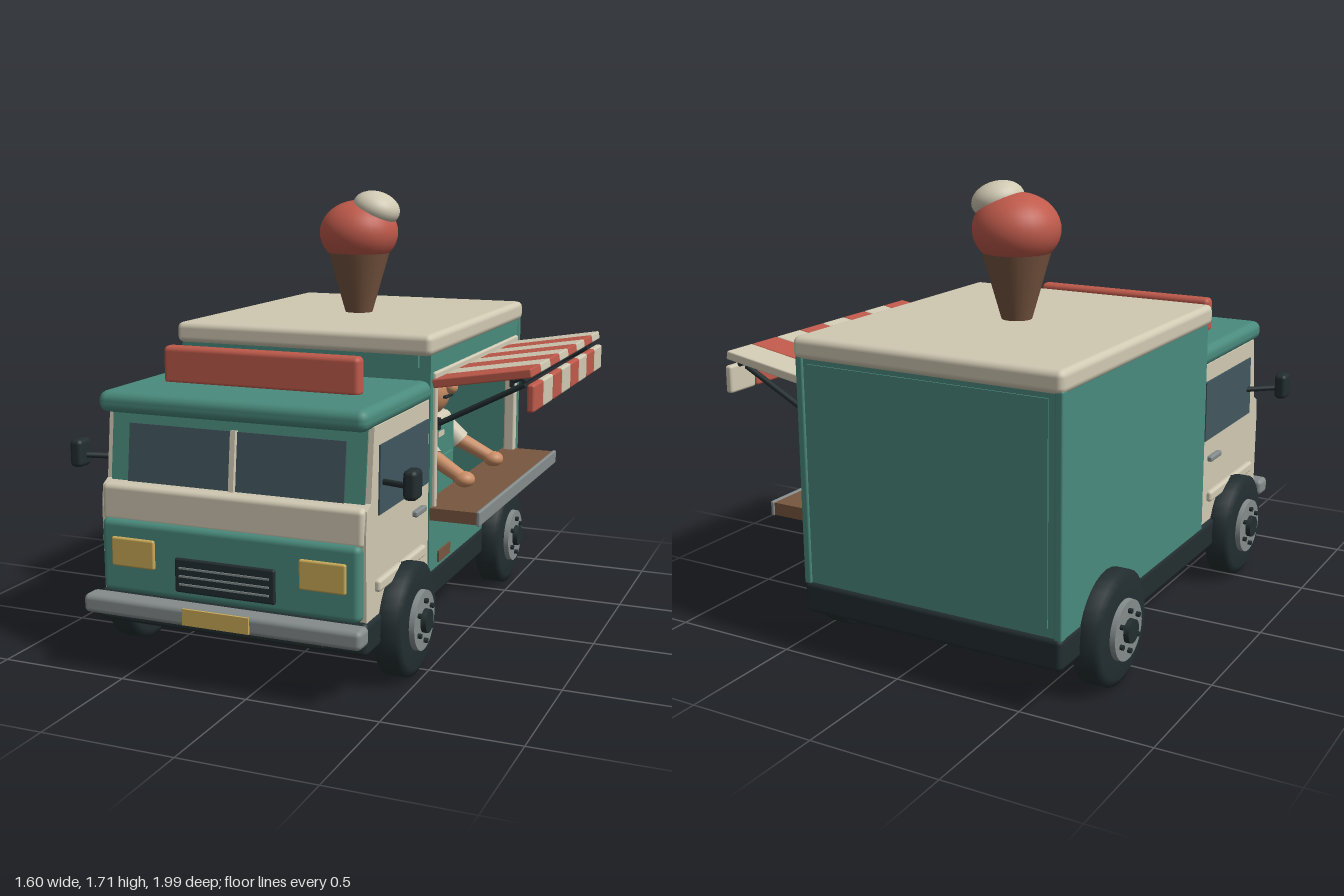
import * as THREE from 'three';
import { RoundedBoxGeometry } from 'three/addons/geometries/RoundedBoxGeometry.js';

const paint = (name, color) => {
  const m = new THREE.MeshStandardMaterial({ color });
  m.name = name;
  return m;
};

export function createModel() {
  const teal = paint('teal', 0x4a8b7d), cream = paint('cream', 0xd0c9b3), red = paint('red', 0xbf5a4b);
  const dark = paint('dark rubber', 0x232e30), glass = paint('glass', 0x42575f), brown = paint('wood brown', 0x785640);
  const grey = paint('metal grey', 0x858c8c), yellow = paint('yellow', 0xcbab58), skin = paint('skin', 0xc88c64);

  const root = new THREE.Group();
  root.name = 'iceCreamTruck';
  const CX = -0.12; // body centre line

  const add = (name, geo, mat, pos = [0, 0, 0], parent = root) => {
    const m = new THREE.Mesh(geo, mat);
    m.name = name;
    m.position.set(...pos);
    parent.add(m);
    return m;
  };
  // box given by its extents, rounded when r > 0
  const box = (name, mat, [x0, x1], [y0, y1], [z0, z1], r = 0, parent = root) => {
    const s = [x1 - x0, y1 - y0, z1 - z0];
    const geo = r ? new RoundedBoxGeometry(...s, 2, r) : new THREE.BoxGeometry(...s);
    return add(name, geo, mat, [(x0 + x1) / 2, (y0 + y1) / 2, (z0 + z1) / 2], parent);
  };
  // round bar between two points
  const bar = (name, mat, a, b, r0, r1 = r0, parent = root) => {
    const A = new THREE.Vector3(...a), B = new THREE.Vector3(...b), d = B.clone().sub(A);
    const m = add(name, new THREE.CylinderGeometry(r1, r0, d.length(), 14), mat, A.clone().add(B).multiplyScalar(0.5).toArray(), parent);
    m.quaternion.setFromUnitVectors(new THREE.Vector3(0, 1, 0), d.normalize());
    return m;
  };
  const ball = (name, mat, pos, scale, parent = root) => {
    const m = add(name, new THREE.SphereGeometry(1, 28, 20), mat, pos, parent);
    m.scale.set(...scale);
    return m;
  };

  // chassis and bumper
  box('chassis', dark, [-0.655, 0.41], [0.17, 0.29], [-0.99, 0.89], 0.02);
  box('frontBumper', grey, [-0.665, 0.425], [0.225, 0.295], [0.9, 0.985], 0.02);
  box('bumperMount', dark, [-0.5, 0.26], [0.2, 0.28], [0.86, 0.93]);
  box('frontPlate', yellow, [-0.25, 0.01], [0.235, 0.295], [0.985, 0.994]);

  // wheels
  const tyreProfile = [[0.1, -0.055], [0.18, -0.055], [0.21, -0.04], [0.21, 0.04], [0.18, 0.055], [0.1, 0.055]]
    .map(p => new THREE.Vector2(...p));
  for (const side of [1, -1]) for (const z of [0.555, -0.645]) {
    const wheel = new THREE.Group();
    wheel.name = 'wheel';
    wheel.position.set(CX + side * 0.545, 0.21, z);
    wheel.rotation.z = -side * Math.PI / 2; // local +y points outwards
    root.add(wheel);
    add('tyre', new THREE.LatheGeometry(tyreProfile, 32), dark, [0, 0, 0], wheel);
    add('rim', new THREE.CylinderGeometry(0.11, 0.12, 0.14, 32), grey, [0, 0.005, 0], wheel);
    add('hubCap', new THREE.CylinderGeometry(0.043, 0.045, 0.03, 20), dark, [0, 0.08, 0], wheel);
    for (let i = 0; i < 6; i++) {
      const a = i * Math.PI / 3;
      add('wheelBolt', new THREE.CylinderGeometry(0.01, 0.01, 0.02, 8), dark, [Math.cos(a) * 0.075, 0.078, Math.sin(a) * 0.075], wheel);
    }
  }

  // cab: side profile (z, y) extruded across the width
  const cabShape = new THREE.Shape([[0.24, 0.28], [0.87, 0.28], [0.875, 0.6], [0.865, 0.68], [0.83, 0.7], [0.8, 0.96], [0.24, 0.96]]
    .map(p => new THREE.Vector2(...p)));
  const cabGeo = new THREE.ExtrudeGeometry(cabShape, { depth: 1.04, bevelEnabled: false });
  cabGeo.rotateY(-Math.PI / 2).translate(0.4, 0, 0);
  add('cabBody', cabGeo, cream);
  box('noseBand', cream, [-0.635, 0.395], [0.55, 0.69], [0.7, 0.885], 0.02);
  box('nosePanel', teal, [-0.63, 0.39], [0.29, 0.565], [0.84, 0.905], 0.025);
  box('cabRoof', teal, [-0.645, 0.405], [0.95, 1.03], [0.2, 0.885], 0.035);
  box('roofSign', red, [-0.52, 0.27], [1.02, 1.165], [0.56, 0.62], 0.02);

  // windscreen assembly, leaning back
  const screen = new THREE.Group();
  screen.name = 'windscreen';
  screen.position.set(CX, 0.7, 0.83);
  screen.rotation.x = -0.115;
  root.add(screen);
  box('screenSurround', teal, [-0.5, 0.5], [-0.01, 0.26], [0, 0.006], 0, screen);
  box('screenGlass', glass, [-0.427, 0.425], [-0.005, 0.208], [0.004, 0.013], 0, screen);
  box('screenDivider', cream, [-0.01, 0.01], [-0.005, 0.212], [0.008, 0.03], 0, screen);

  // grille and headlights
  box('grille', dark, [-0.32, 0.075], [0.325, 0.452], [0.9, 0.918], 0.008);
  for (let i = 0; i < 3; i++) box('grilleSlat', grey, [-0.3, 0.055], [0.354 + i * 0.03, 0.361 + i * 0.03], [0.915, 0.923]);
  for (const s of [1, -1]) {
    const x = CX + s * 0.373;
    box('headlight', yellow, [x - 0.088, x + 0.088], [0.393, 0.502], [0.895, 0.916], 0.008);
  }

  // cab side details, mirrored
  const winShape = new THREE.Shape([[0.26, 0.645], [0.765, 0.645], [0.755, 0.89], [0.26, 0.89]].map(p => new THREE.Vector2(...p)));
  for (const s of [1, -1]) {
    const at = (a, b) => [CX + s * a, CX + s * b].sort((p, q) => p - q);
    const win = new THREE.ExtrudeGeometry(winShape, { depth: 0.009, bevelEnabled: false });
    win.rotateY(-Math.PI / 2).translate(CX + s * 0.522 + 0.0045, 0, 0);
    add('doorWindow', win, glass);
    box('doorHandle', grey, at(0.515, 0.54), [0.548, 0.572], [0.305, 0.415], 0.008);
    box('doorTrim', cream, at(0.51, 0.54), [0.375, 0.42], [0.31, 0.79], 0.012);
    bar('mirrorArm', dark, [CX + s * 0.51, 0.755, 0.72], [CX + s * 0.64, 0.765, 0.79], 0.011);
    box('mirror', dark, at(0.632, 0.683), [0.722, 0.828], [0.757, 0.835], 0.018);
  }

  // cargo box: walls around an open serving hatch on +x
  const Z = [-0.98, 0.24];
  box('rightWall', teal, [-0.65, -0.62], [0.28, 1.15], Z);
  box('rearWall', teal, [-0.65, 0.405], [0.28, 1.15], [-0.98, -0.95]);
  box('frontWall', teal, [-0.65, 0.405], [0.28, 1.15], [0.21, 0.24]);
  box('floor', dark, [-0.63, 0.39], [0.28, 0.31], [-0.96, 0.22]);
  box('lowerHatchWall', teal, [0.375, 0.405], [0.28, 0.535], Z);
  box('upperHatchWall', teal, [0.375, 0.405], [1.03, 1.15], Z);
  box('frontHatchPost', teal, [0.375, 0.405], [0.53, 1.04], [0.19, 0.24]);
  box('rearHatchPost', teal, [0.375, 0.405], [0.53, 1.04], [-0.98, -0.91]);
  for (const x of [-0.64, 0.395]) box('rearCornerTrim', teal, [x - 0.016, x + 0.016], [0.28, 1.14], [-0.987, -0.955], 0.008);
  box('rearPanel', teal, [-0.6, 0.36], [0.32, 1.11], [-0.985, -0.978]);
  box('frontStep', teal, [-0.6, 0.36], [1.08, 1.14], [0.23, 0.255]);
  box('cargoRoof', cream, [-0.66, 0.418], [1.125, 1.207], [-0.995, 0.27], 0.025);
  box('hatchFrameRear', cream, [0.37, 0.418], [0.53, 1.06], [-0.925, -0.88], 0.008);
  box('hatchFrameFront', cream, [0.37, 0.418], [0.53, 1.06], [0.185, 0.21], 0.008);
  box('hatchFrameTop', cream, [0.37, 0.418], [1.03, 1.06], [-0.925, 0.21], 0.008);
  box('rearSideTrim', cream, [0.4, 0.422], [0.375, 0.42], [-0.885, -0.405], 0.01);
  box('sidePlate', brown, [0.4, 0.412], [0.3, 0.345], [0.0, 0.14]);

  // counter
  box('counter', brown, [0.36, 0.595], [0.492, 0.54], [-0.92, 0.235]);
  box('counterEdge', grey, [0.59, 0.606], [0.488, 0.545], [-0.925, 0.24], 0.006);

  // striped awning rising outwards, with hanging valance
  const tilt = 0.165;
  for (let i = 0; i < 8; i++) {
    const z = 0.157 - i * 0.1435, mat = i % 2 ? cream : red;
    const panel = add('awningStripe', new RoundedBoxGeometry(0.385, 0.034, 0.141, 1, 0.006), mat, [0.597, 1.05, z]);
    panel.rotation.z = tilt;
    add('awningValance', new RoundedBoxGeometry(0.03, 0.105, 0.137, 2, 0.01), mat, [0.785, 0.987, z]);
  }
  for (const z of [0.175, -0.85]) {
    bar('awningStrut', dark, [0.41, 0.855, z], [0.75, 1.03, z], 0.011);
    box('strutBracket', dark, [0.405, 0.422], [0.835, 0.88], [z - 0.013, z + 0.013]);
  }
  bar('awningCrossbar', dark, [0.75, 1.045, 0.2], [0.75, 1.045, -0.89], 0.009);

  // shelves and goods
  for (const y of [0.56, 0.745]) box('shelf', brown, [-0.62, -0.42], [y, y + 0.034], [-0.79, 0]);
  for (const z of [-0.12, -0.56]) {
    add('bottle', new THREE.CylinderGeometry(0.038, 0.038, 0.12, 18), glass, [-0.52, 0.839, z]);
    add('bottleCap', new THREE.CylinderGeometry(0.024, 0.028, 0.022, 14), yellow, [-0.52, 0.91, z]);
  }
  for (const z of [-0.07, -0.62]) {
    box('carton', cream, [-0.58, -0.46], [0.594, 0.705], [z - 0.06, z + 0.06], 0.006);
    box('cartonLabel', grey, [-0.462, -0.456], [0.62, 0.67], [z - 0.035, z + 0.035]);
    box('cartonBadge', cream, [-0.457, -0.452], [0.63, 0.66], [z - 0.027, z + 0.027]);
  }

  // vendor facing +x
  const vendor = new THREE.Group();
  vendor.name = 'vendor';
  vendor.position.set(0.2, 0, -0.27);
  root.add(vendor);
  box('torso', cream, [-0.07, 0.09], [0.32, 0.81], [-0.125, 0.125], 0.035, vendor);
  box('apron', teal, [0.07, 0.1], [0.33, 0.775], [-0.105, 0.105], 0.012, vendor);
  box('apronPocket', teal, [0.095, 0.106], [0.57, 0.645], [-0.062, 0.062], 0.004, vendor);
  box('nameTag', cream, [0.098, 0.104], [0.728, 0.75], [0.04, 0.105], 0, vendor);
  bar('neck', skin, [0, 0.79, 0], [0, 0.85, 0], 0.045, 0.045, vendor);
  ball('head', skin, [0.01, 0.9, 0], [0.1, 0.105, 0.105], vendor);
  ball('nose', skin, [0.118, 0.92, 0], [0.028, 0.027, 0.027], vendor);
  box('moustache', dark, [0.09, 0.115], [0.878, 0.892], [-0.045, 0.045], 0.005, vendor);
  add('hat', new THREE.CylinderGeometry(0.11, 0.1, 0.06, 28), red, [0, 0.985, 0], vendor);
  box('hatBrim', red, [0.04, 0.15], [0.955, 0.968], [-0.085, 0.085], 0.006, vendor);
  for (const s of [1, -1]) {
    ball('ear', skin, [0, 0.9, s * 0.105], [0.025, 0.03, 0.018], vendor);
    ball('eye', dark, [0.1, 0.937, s * 0.035], [0.012, 0.012, 0.012], vendor);
    ball('shoulder', cream, [0, 0.77, s * 0.145], [0.048, 0.045, 0.048], vendor);
    bar('sleeve', cream, [0, 0.77, s * 0.15], [0.1, 0.66, s * 0.18], 0.042, 0.046, vendor);
    bar('forearm', skin, [0.09, 0.67, s * 0.178], [0.23, 0.595, s * 0.2], 0.034, 0.028, vendor);
    ball('hand', skin, [0.245, 0.588, s * 0.2], [0.042, 0.032, 0.042], vendor);
  }

  // rooftop ice cream
  add('cone', new THREE.CylinderGeometry(0.134, 0.054, 0.28, 24), brown, [CX, 1.335, -0.34]);
  ball('largeScoop', red, [CX, 1.54, -0.34], [0.165, 0.135, 0.165]);
  ball('smallScoop', cream, [-0.042, 1.642, -0.34], [0.1, 0.069, 0.102]).rotation.z = -0.3;

  return root;
}
